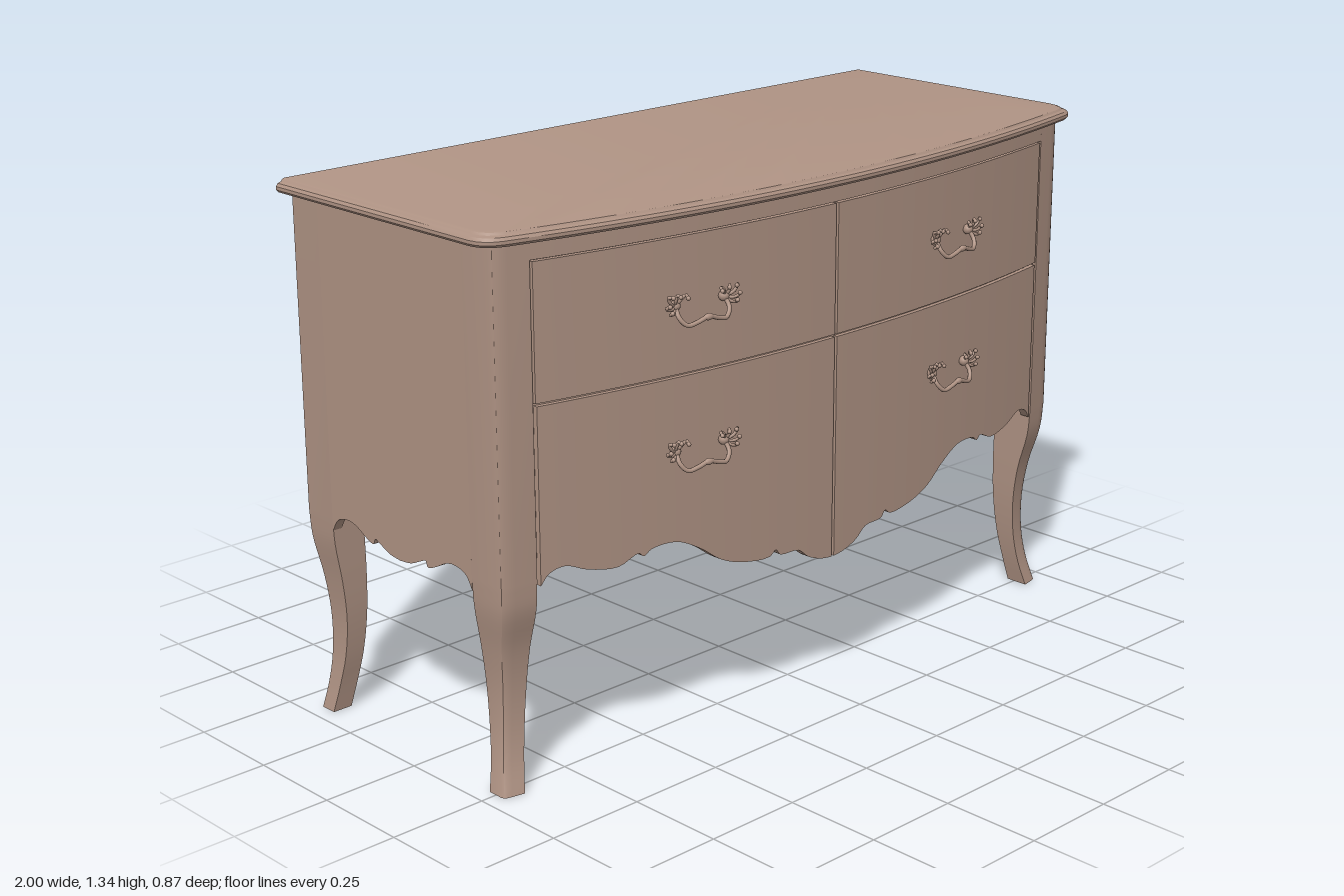
import * as THREE from 'three';
import { toCreasedNormals } from 'three/addons/utils/BufferGeometryUtils.js';

const wood = new THREE.MeshStandardMaterial({ color: 0xae9283 });
wood.name = 'rosy brown wood';

const BOW = 0.119;
const bow = (x) => 0.4 - BOW * x * x; // bowed front surface

// Skin a list of equal-length rings of [x, y, z], capped at both ends.
function loft(rings, crease = 0.6) {
  const pos = [];
  let volume = 0;
  const tri = (a, b, c) => {
    pos.push([a, b, c]);
    volume += new THREE.Vector3(...a).dot(new THREE.Vector3(...b).cross(new THREE.Vector3(...c)));
  };
  const n = rings[0].length;
  for (let r = 0; r < rings.length - 1; r++) {
    const a = rings[r], b = rings[r + 1];
    for (let i = 0; i < n; i++) {
      const j = (i + 1) % n;
      tri(a[i], a[j], b[j]);
      tri(a[i], b[j], b[i]);
    }
  }
  const first = rings[0], last = rings[rings.length - 1];
  for (let i = 1; i < n - 1; i++) {
    tri(last[0], last[i], last[i + 1]);
    tri(first[0], first[i + 1], first[i]);
  }
  // keep faces outward whichever way the rings run
  const flat = pos.flatMap(([a, b, c]) => (volume < 0 ? [...a, ...c, ...b] : [...a, ...b, ...c]));
  const geo = new THREE.BufferGeometry();
  geo.setAttribute('position', new THREE.Float32BufferAttribute(flat, 3));
  return toCreasedNormals(geo, crease);
}

const smooth = (pts, n) => new THREE.CatmullRomCurve3(
  pts.map(([x, y]) => new THREE.Vector3(x, y, 0))).getPoints(n).map((p) => [p.x, p.y]);

// Lower edge of the front (half) and of the sides (half)
const frontEdge = smooth([[0.004, 0.365], [0.04, 0.37], [0.085, 0.387], [0.12, 0.413], [0.18, 0.418],
  [0.195, 0.434], [0.215, 0.421], [0.31, 0.432], [0.37, 0.455], [0.43, 0.497], [0.5, 0.53], [0.57, 0.528],
  [0.59, 0.516], [0.605, 0.526], [0.66, 0.506], [0.74, 0.518], [0.8, 0.54], [0.84, 0.53], [0.861, 0.505]], 72);
const sideHalf = smooth([[0, 0.485], [0.04, 0.49], [0.08, 0.507], [0.095, 0.512], [0.102, 0.498],
  [0.13, 0.506], [0.17, 0.526], [0.2, 0.531], [0.24, 0.52], [0.2625, 0.488]], 40);

// Curved board following the bowed front; edge is a list of [x, bottom]
const bowedBoard = (edge, top, inset, thick) => loft(edge.map(([x, y]) => {
  const z = bow(x) - inset;
  return [[x, y, z], [x, top, z], [x, top, z - thick], [x, y, z - thick]];
}));
const straightEdge = (x0, x1, y, n = 24) =>
  Array.from({ length: n + 1 }, (_, i) => [x0 + (x1 - x0) * i / n, y]);
const mirrorEdge = (edge, s) => edge.map(([x, y]) => [s * x, y]);

// Plan outline with a bowed front and rounded front corners
function plan(y, w, back, front) {
  const f = (x) => front - 0.12 * x * x;
  const c = f(w - 0.05);
  const side = [[w, back], [w, c - 0.06], [w - 0.004, c - 0.038], [w - 0.014, c - 0.02], [w - 0.03, c - 0.008]];
  const arc = straightEdge(w - 0.05, 0.05 - w, 0, 32).map(([x]) => [x, f(x)]);
  return [...side, ...arc, ...side.map(([x, z]) => [-x, z]).reverse()].map(([x, z]) => [x, y, z]);
}

// Leg and stile in one: y, inner x, outer x, inner z, outer z
const legKeys = [[0.52, 0.87, 0.96, 0.19, 0.31], [0.45, 0.869, 0.956, 0.19, 0.304],
  [0.35, 0.868, 0.94, 0.19, 0.277], [0.25, 0.87, 0.93, 0.193, 0.263], [0.15, 0.878, 0.932, 0.203, 0.262],
  [0.07, 0.89, 0.943, 0.217, 0.272], [0, 0.905, 0.958, 0.228, 0.29]];
function legRows() {
  const a = new THREE.CatmullRomCurve3(legKeys.map((k) => new THREE.Vector3(k[0], k[1], k[2]))).getPoints(24);
  const b = new THREE.CatmullRomCurve3(legKeys.map((k) => new THREE.Vector3(k[0], k[3], k[4]))).getPoints(24);
  const rows = a.map((p, i) => [p.x, p.y, p.z, b[i].y, b[i].z]);
  return [[1.302, ...legKeys[0].slice(1)], ...rows];
}
function legGeometry(s, isFront) {
  return loft(legRows().map(([y, x0, x1, z0, z1]) => {
    const w = x1 - x0;
    if (isFront) {
      return [[x0, z1], [x0 + 0.6 * w, z1 - 0.12 * w], [x0 + 0.85 * w, z1 - 0.18 * w],
        [x0 + 0.95 * w, z1 - 0.25 * w], [x1, z1 - 0.38 * w], [x1, z0], [x0, z0]].map(([x, z]) => [s * x, y, z]);
    }
    const zo = -0.43 + (0.31 - z1) * 0.6, zi = -0.335 - (z0 - 0.19);
    return [[x0, zi], [x1, zi], [x1, zo], [x0, zo]].map(([x, z]) => [s * x, y, z]);
  }), 0.5);
}

// Scrolled pull: a bowed bail with a leaf cluster at each end
function makeHandle(add) {
  const g = new THREE.Group();
  g.name = 'handle';
  const bail = new THREE.CatmullRomCurve3([[-0.07, 0.012, 0.01], [-0.072, -0.012, 0.026], [-0.056, -0.03, 0.036],
    [-0.03, -0.026, 0.04], [0, -0.017, 0.042], [0.03, -0.026, 0.04], [0.056, -0.03, 0.036],
    [0.072, -0.012, 0.026], [0.07, 0.012, 0.01]].map((p) => new THREE.Vector3(...p)));
  add('bail', new THREE.TubeGeometry(bail, 40, 0.0055, 8), g);
  const knob = add('bailKnob', new THREE.SphereGeometry(0.009, 12, 8), g);
  knob.position.set(0, -0.018, 0.042);
  knob.scale.set(1.5, 0.9, 0.8);
  for (const s of [-1, 1]) {
    const boss = add('boss', new THREE.SphereGeometry(0.013, 12, 8), g);
    boss.position.set(s * 0.07, 0.012, 0.008);
    // leaf angle, length
    for (const [angle, len] of [[0.1, 0.036], [0.75, 0.04], [1.4, 0.03], [2.2, 0.034], [-0.5, 0.028]]) {
      const dx = Math.cos(angle) * len, dy = Math.sin(angle) * len;
      const path = new THREE.CatmullRomCurve3([
        new THREE.Vector3(s * 0.07, 0.01, 0.008),
        new THREE.Vector3(s * (0.07 + dx * 0.6 + dy * 0.12), 0.01 + dy * 0.6 - dx * 0.12, 0.02),
        new THREE.Vector3(s * (0.07 + dx), 0.01 + dy, 0.022),
        new THREE.Vector3(s * (0.07 + dx * 0.85 - dy * 0.15), 0.01 + dy * 0.85 + dx * 0.15, 0.03)]);
      add('leaf', new THREE.TubeGeometry(path, 10, 0.004, 6), g);
      const tip = add('leafTip', new THREE.SphereGeometry(0.0055, 8, 6), g);
      tip.position.copy(path.getPoint(1));
    }
  }
  return g;
}

export function createModel() {
  const model = new THREE.Group();
  model.name = 'chestOfDrawers';
  const add = (name, geo, parent = model) => {
    const mesh = new THREE.Mesh(geo, wood);
    mesh.name = name;
    parent.add(mesh);
    return mesh;
  };
  const box = (name, w, h, d, x, y, z) => add(name, new THREE.BoxGeometry(w, h, d)).position.set(x, y, z);

  // Moulded top: height, inset
  add('top', loft([[1.3, 0.02], [1.304, 0.005], [1.31, 0], [1.318, 0], [1.325, 0.005], [1.328, 0.014],
    [1.333, 0.018], [1.335, 0.024]].map(([y, d]) => plan(y, 1 - d, -0.435, 0.433 - d)), 0.5));

  // Front: top rail, recessed backing and four drawers with narrow gaps
  add('topRail', bowedBoard(straightEdge(-0.87, 0.87, 1.259, 40), 1.302, 0, 0.03));
  for (const s of [-1, 1]) {
    const lower = mirrorEdge(frontEdge, s);
    add('upperDrawer', bowedBoard(straightEdge(s * 0.004, s * 0.864, 0.934), 1.255, 0, 0.02));
    add('lowerDrawer', bowedBoard(lower, 0.927, 0, 0.025));
    add('drawerBacking', bowedBoard(straightEdge(0, s * 0.88, 0.57), 1.3, 0.012, 0.02));
    for (const y of [1.087, 0.742]) {
      const handle = makeHandle(add);
      handle.position.set(s * 0.435, y, bow(0.435) - 0.002);
      handle.rotation.y = s * Math.atan(2 * BOW * 0.435);
      model.add(handle);
    }

    // Legs with their corner posts
    add('frontLeg', legGeometry(s, true));
    add('backLeg', legGeometry(s, false));

    // Side panel with a scalloped lower edge
    const edge = [...sideHalf.slice(1).map(([d, y]) => [-d, y]).reverse(), ...sideHalf];
    add('sidePanel', loft(edge.map(([d, y]) => [[0.96, y], [0.96, 1.302], [0.935, 1.302], [0.935, y]]
      .map(([x, h]) => [s * x, h, -0.0725 + d]))));

    // Curved brace behind the middle of the apron
    const brace = new THREE.Shape([[0.385, 0.39], [0.365, 0.39], [0.34, 0.41], [0.325, 0.45], [0.318, 0.5],
      [0.3, 0.58], [0.385, 0.58]].map(([z, y]) => new THREE.Vector2(-z, y)));
    const braceMesh = add('apronBrace', new THREE.ExtrudeGeometry(brace, { depth: 0.02, bevelEnabled: false }));
    braceMesh.rotation.y = Math.PI / 2;
    braceMesh.position.x = s * 0.025 - 0.01;
  }

  // Back frame with two sunken panels
  const frame = new THREE.Shape([[-0.87, 0.52], [0.87, 0.52], [0.87, 1.302], [-0.87, 1.302]]
    .map((p) => new THREE.Vector2(...p)));
  for (const [x0, x1] of [[-0.865, -0.065], [0.065, 0.865]]) {
    frame.holes.push(new THREE.Path([[x0, 0.62], [x0, 1.2], [x1, 1.2], [x1, 0.62]]
      .map((p) => new THREE.Vector2(...p))));
  }
  add('backFrame', new THREE.ExtrudeGeometry(frame, { depth: 0.02, bevelEnabled: false })).position.z = -0.43;
  box('backPanel', 1.76, 0.64, 0.012, 0, 0.91, -0.412);

  // Bottom board and the rails beneath it
  add('bottomBoard', loft([0.575, 0.59].map((y) => plan(y, 0.94, -0.415, 0.375))));
  box('frontRail', 1.74, 0.03, 0.04, 0, 0.562, 0.26);
  box('backRail', 1.74, 0.03, 0.04, 0, 0.562, -0.39);
  box('middleRail', 0.04, 0.03, 0.64, 0, 0.562, -0.06);
  for (const s of [-1, 1]) {
    box('sideRail', 0.04, 0.03, 0.64, s * 0.9, 0.562, -0.06);
    const corner = add('cornerBlock', new THREE.BoxGeometry(0.2, 0.03, 0.03));
    corner.position.set(s * 0.82, 0.562, 0.19);
    corner.rotation.y = s * Math.PI / 4;
  }
  return model;
}
